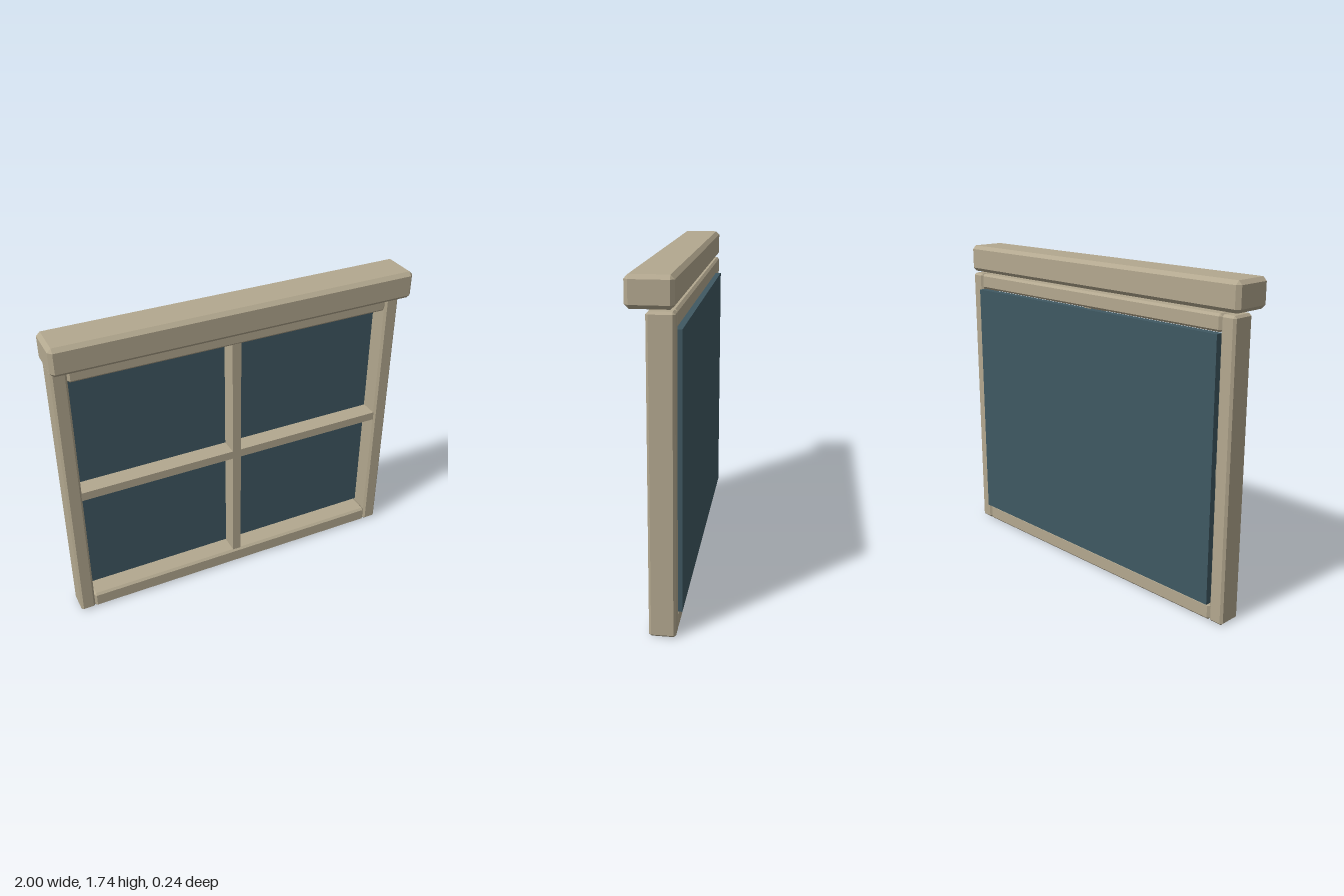
import * as THREE from 'three';
import { ConvexGeometry } from 'three/addons/geometries/ConvexGeometry.js';

// Box given by its limits, with every edge chamfered by c
function chamferBox(w, h, d, c) {
  const points = [];
  for (const sx of [-1, 1]) for (const sy of [-1, 1]) for (const sz of [-1, 1]) {
    const x = w / 2, y = h / 2, z = d / 2;
    points.push(
      new THREE.Vector3(sx * x, sy * (y - c), sz * (z - c)),
      new THREE.Vector3(sx * (x - c), sy * y, sz * (z - c)),
      new THREE.Vector3(sx * (x - c), sy * (y - c), sz * z),
    );
  }
  return new ConvexGeometry(points);
}

export function createModel() {
  const model = new THREE.Group();
  model.name = 'window';

  const wood = new THREE.MeshStandardMaterial({ color: 0xb3a88f });
  wood.name = 'weathered wood';
  const glass = new THREE.MeshStandardMaterial({ color: 0x3f5862 });
  glass.name = 'dark glass';

  // Places a block between two limits on each axis
  function block(name, material, [x0, x1], [y0, y1], [z0, z1], chamfer = 0) {
    const size = [x1 - x0, y1 - y0, z1 - z0];
    const geometry = chamfer ? chamferBox(...size, chamfer) : new THREE.BoxGeometry(...size);
    const mesh = new THREE.Mesh(geometry, material);
    mesh.name = name;
    mesh.position.set((x0 + x1) / 2, (y0 + y1) / 2, (z0 + z1) / 2);
    model.add(mesh);
  }

  const frameDepth = [-0.102, 0.03];
  const barDepth = [-0.09, 0.02];

  // Outer frame: two jambs and two rails
  block('leftJamb', wood, [0.902, 0.985], [0, 1.577], frameDepth, 0.012);
  block('rightJamb', wood, [-0.985, -0.902], [0, 1.577], frameDepth, 0.012);
  block('bottomRail', wood, [-0.902, 0.902], [0, 0.092], frameDepth, 0.012);
  block('topRail', wood, [-0.902, 0.902], [1.49, 1.577], frameDepth, 0.012);

  // Overhanging header above the frame
  block('header', wood, [-1, 1], [1.587, 1.738], [-0.102, 0.122], 0.02);

  // Glazing bars and the pane behind them
  block('verticalBar', wood, [-0.025, 0.025], [0.085, 1.495], barDepth);
  block('horizontalBar', wood, [-0.905, 0.905], [0.768, 0.817], barDepth);
  block('pane', glass, [-0.9, 0.9], [0.097, 1.486], [-0.122, -0.08]);

  return model;
}
